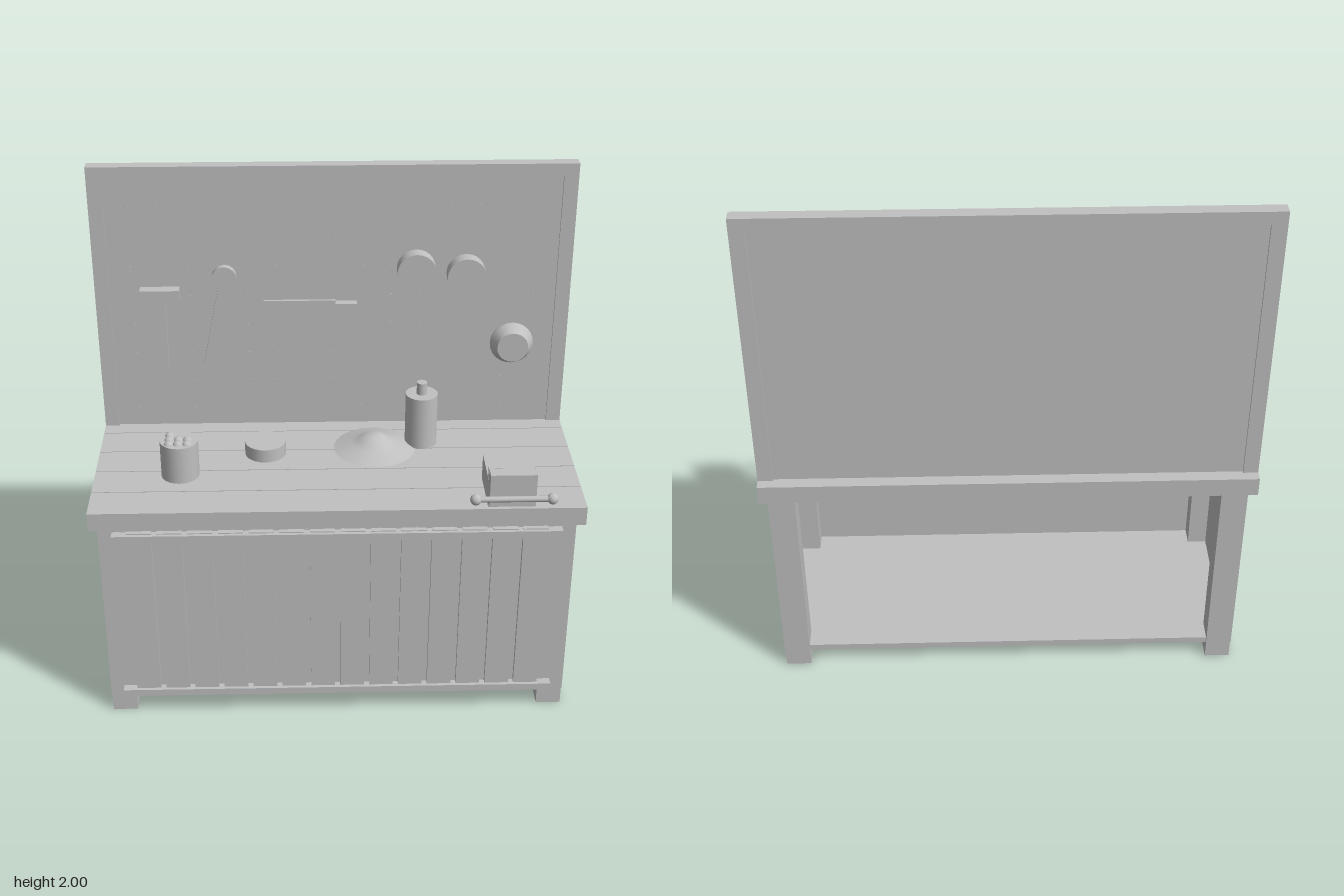
import * as THREE from 'three';

export function createModel() {
  const group = new THREE.Group();
  group.name = 'workbench';
  const grey = new THREE.MeshStandardMaterial({ color: 0xc0c0c0 });
  grey.name = 'plain grey';

  const add = (name, geometry, x = 0, y = 0, z = 0) => {
    const mesh = new THREE.Mesh(geometry, grey);
    mesh.name = name;
    mesh.position.set(x, y, z);
    group.add(mesh);
    return mesh;
  };
  // Box given by its limits on each axis
  const box = (name, x0, x1, y0, y1, z0, z1) =>
    add(name, new THREE.BoxGeometry(x1 - x0, y1 - y0, z1 - z0),
      (x0 + x1) / 2, (y0 + y1) / 2, (z0 + z1) / 2);
  // Upright cylinder standing on y0
  const post = (name, r, x, z, y0, y1, sides = 24) =>
    add(name, new THREE.CylinderGeometry(r, r, y1 - y0, sides), x, (y0 + y1) / 2, z);
  // Disc lying against the wall board, axis along z
  const disc = (name, rFront, rBack, x, y, z0, z1, sides = 24) => {
    const g = new THREE.CylinderGeometry(rFront, rBack, z1 - z0, sides).rotateX(Math.PI / 2);
    return add(name, g, x, y, (z0 + z1) / 2);
  };

  // Legs and side panels
  for (const s of [-1, 1]) {
    for (const [z0, z1] of [[0.22, 0.31], [-0.37, -0.28]])
      box('leg', s * 0.8325 - 0.0475, s * 0.8325 + 0.0475, 0, 0.853, z0, z1);
    box('sidePanel', s * 0.872 - 0.012, s * 0.872 + 0.012, 0.065, 0.83, -0.365, 0.305);
  }

  // Bottom shelf and front wall with vertical planks and two rails
  box('bottomShelf', -0.862, 0.862, 0.065, 0.09, -0.36, 0.3);
  box('frontPanel', -0.8, 0.8, 0.066, 0.83, 0.295, 0.314);
  for (let i = 0; i < 14; i++) {
    const x = (i - 6.5) * 0.1125;
    box('frontPlank', x - 0.046, x + 0.046, 0.09, 0.829, 0.31, 0.333);
  }
  box('topRail', -0.83, 0.83, 0.795, 0.825, 0.312, 0.346);
  box('bottomRail', -0.83, 0.83, 0.093, 0.12, 0.312, 0.346);

  // Worktop: solid core with five planks split by narrow grooves
  box('worktopCore', -0.91, 0.91, 0.853, 0.921, -0.41, 0.35);
  const plankDepth = 0.76 / 5;
  for (let i = 0; i < 5; i++) {
    const z = -0.41 + i * plankDepth;
    box('worktopPlank', -0.91, 0.91, 0.921, 0.927,
      z + (i > 0 ? 0.002 : 0), z + plankDepth - (i < 4 ? 0.002 : 0));
  }

  // Pegboard with frame and rows of peg holes
  box('pegboard', -0.86, 0.86, 0.927, 1.96, -0.362, -0.331);
  for (const s of [-1, 1])
    box('frameSide', s * 0.8825 - 0.0275, s * 0.8825 + 0.0275, 0.927, 2, -0.371, -0.322);
  box('frameTop', -0.855, 0.855, 1.952, 2, -0.371, -0.322);
  for (let row = 0; row < 8; row++)
    for (let col = 0; col < 15; col++)
      disc('pegHole', 0.006, 0.006, (col - 7) * 0.11, 1.0 + row * 0.12, -0.333, -0.329, 8);

  // Hammer
  box('hammerHead', -0.737, -0.587, 1.475, 1.522, -0.33, -0.286);
  box('hammerHandle', -0.683, -0.643, 1.17, 1.476, -0.33, -0.302);

  // Spanner with a round head
  disc('spannerHead', 0.047, 0.047, -0.415, 1.563, -0.33, -0.303, 16);
  const shaft = box('spannerShaft', -0.467, -0.431, 1.195, 1.535, -0.33, -0.306);
  shaft.rotation.z = -0.2;
  shaft.position.set(-0.453, 1.367, -0.318);

  // Saw
  box('sawBlade', -0.267, 0.008, 1.34, 1.465, -0.325, -0.313);
  box('sawHandle', 0.008, 0.09, 1.352, 1.457, -0.331, -0.298);

  // Hanging reels and a tapered dish
  disc('reel', 0.074, 0.074, 0.315, 1.595, -0.318, -0.262);
  disc('reel', 0.074, 0.074, 0.505, 1.575, -0.318, -0.262);
  disc('taperedDish', 0.06, 0.084, 0.695, 1.277, -0.312, -0.268);
  disc('dishRim', 0.084, 0.084, 0.695, 1.277, -0.32, -0.312);

  // Can filled with balls
  post('can', 0.072, -0.587, 0.07, 0.927, 1.075);
  for (let row = 0; row < 3; row++)
    for (let col = 0; col < (row === 0 ? 1 : 3); col++)
      add('ball', new THREE.SphereGeometry(0.02, 12, 8),
        -0.622 + col * 0.034, 1.068, 0.035 + row * 0.034);

  // Round tin
  post('tin', 0.079, -0.268, -0.088, 0.927, 0.98);

  // Shallow plate with a heaped middle
  const heap = [[0.158, 0.927], [0.09, 0.95], [0.06, 0.962], [0.03, 0.985], [0, 0.985]];
  add('plate', new THREE.LatheGeometry(heap.map(([r, y]) => new THREE.Vector2(r, y)), 32), 0.155, 0, -0.12);

  // Bottle
  post('bottleBody', 0.062, 0.337, -0.16, 0.927, 1.14);
  post('bottleNeck', 0.02, 0.337, -0.16, 1.14, 1.188, 16);

  // Vise
  box('viseBase', 0.548, 0.717, 0.927, 0.946, 0.125, 0.335);
  box('viseBody', 0.548, 0.717, 0.946, 1.026, 0.125, 0.365);
  box('viseFrontJaw', 0.548, 0.717, 1.026, 1.076, 0.316, 0.365);
  box('viseBackJaw', 0.548, 0.717, 1.026, 1.07, 0.29, 0.305);
  const bar = post('viseBar', 0.011, 0.635, 0.388, 0.855, 1.127, 12);
  bar.rotation.z = Math.PI / 2;
  for (const x of [0.495, 0.772])
    add('viseBarKnob', new THREE.SphereGeometry(0.021, 16, 12), x, 0.991, 0.388);

  return group;
}
